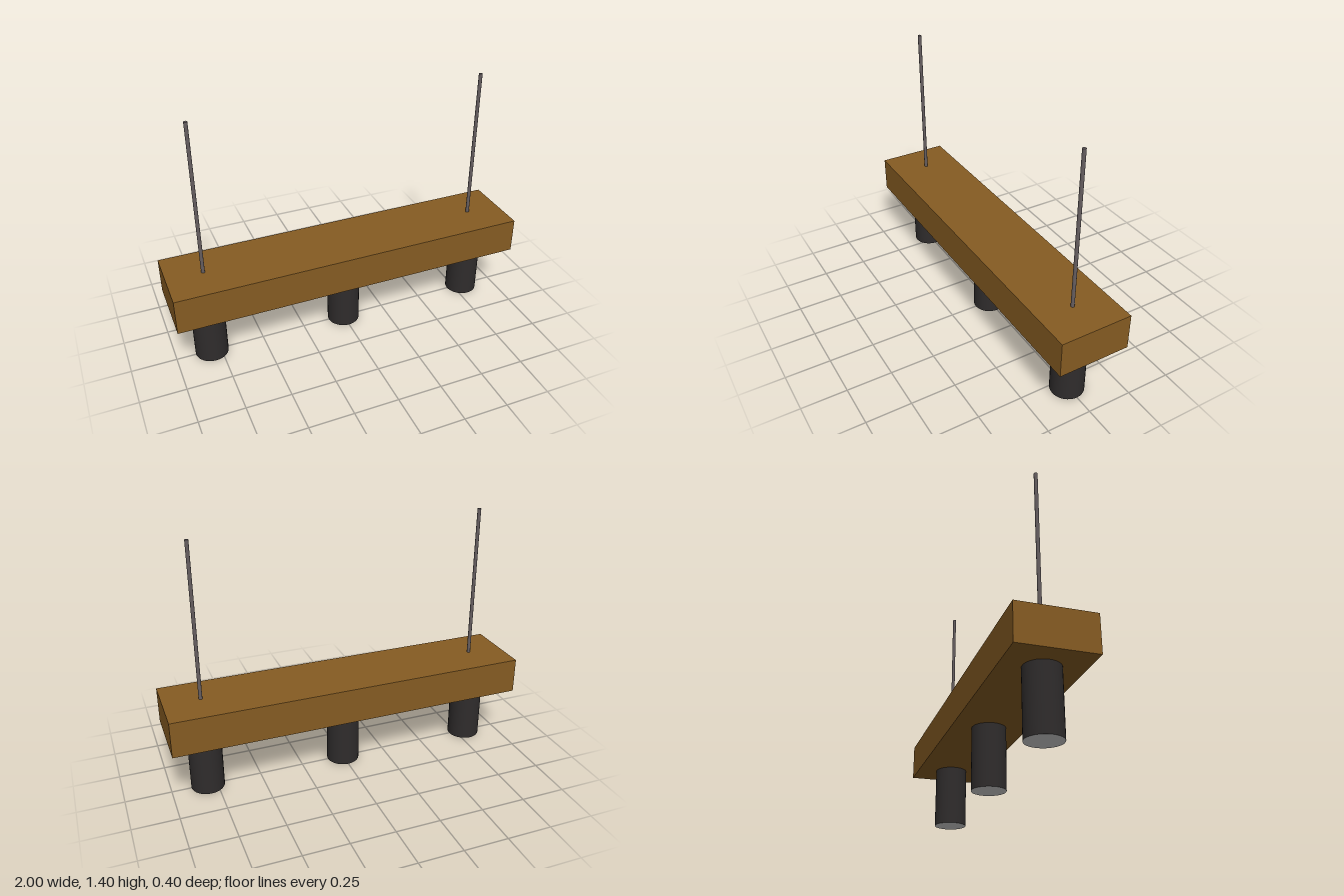
import * as THREE from 'three';

const material = (color) => new THREE.MeshStandardMaterial({ color });

export function createModel() {
  const group = new THREE.Group();
  const wood = material(0x855b22);
  const black = material(0x2f2c2c);
  const steel = material(0x665e60);
  const diffuser = material(0xcccccc);

  const add = (name, geometry, mat, x, y) => {
    const mesh = new THREE.Mesh(geometry, mat);
    mesh.name = name;
    mesh.position.set(x, y, 0);
    group.add(mesh);
  };

  // Wooden beam
  add('beam', new THREE.BoxGeometry(2, 0.2, 0.4), wood, 0, 0.44);

  // Spotlight cylinders with a pale lens closing the lower end
  const radius = 0.092;
  const spot = new THREE.CylinderGeometry(radius, radius, 0.34, 32, 1, true);
  const lens = new THREE.CircleGeometry(radius, 32).rotateX(Math.PI / 2);
  for (const x of [-0.8, 0, 0.8]) {
    add('spotlight', spot, black, x, 0.17);
    add('lens', lens, diffuser, x, 0);
  }

  // Thin suspension rods
  const rod = new THREE.CylinderGeometry(0.01, 0.01, 0.865, 12);
  for (const x of [-0.8, 0.8]) add('suspensionRod', rod, steel, x, 0.9725);

  return group;
}
